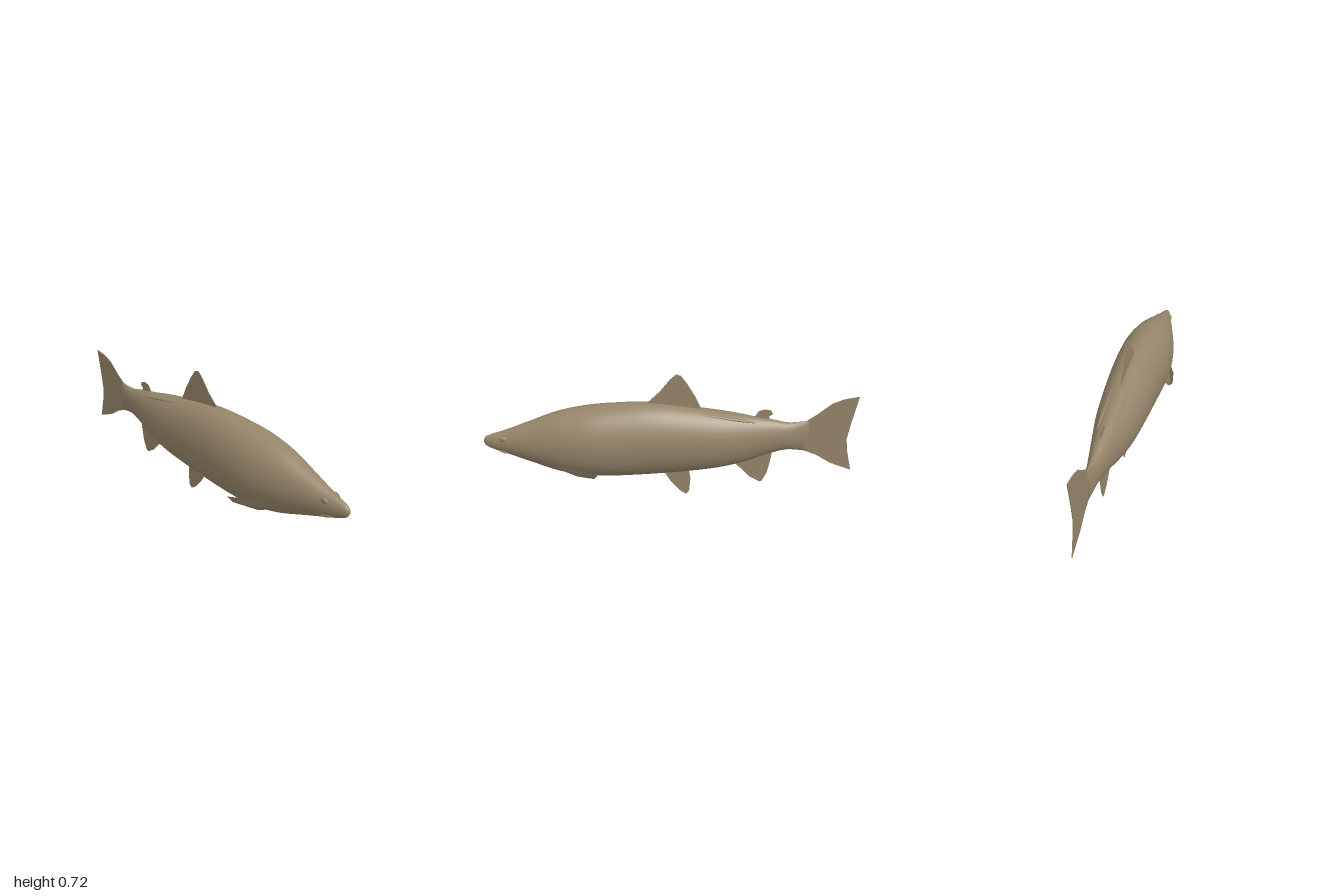
import * as THREE from 'three';

const skin = new THREE.MeshStandardMaterial({ color: 0x96856a, side: THREE.DoubleSide });
skin.name = 'olive brown skin';

// Body stations from tail to nose: x, top y, bottom y, half width
const stations = [
  [-0.745, 0.455, 0.275, 0.017], [-0.64, 0.445, 0.285, 0.036], [-0.55, 0.463, 0.265, 0.053],
  [-0.4, 0.488, 0.213, 0.083], [-0.27, 0.51, 0.182, 0.107], [-0.1, 0.537, 0.16, 0.124],
  [0.1, 0.56, 0.144, 0.138], [0.3, 0.553, 0.135, 0.149], [0.45, 0.538, 0.139, 0.147],
  [0.6, 0.506, 0.165, 0.122], [0.75, 0.45, 0.218, 0.084], [0.87, 0.404, 0.262, 0.052],
  [0.95, 0.379, 0.29, 0.03], [0.988, 0.363, 0.31, 0.016], [1, 0.345, 0.33, 0.006],
];

function bodyGeometry(rings = 70, sides = 40) {
  const outline = new THREE.CatmullRomCurve3(stations.map(([x, t, b]) => new THREE.Vector3(x, t, b)), false, 'catmullrom');
  const widths = new THREE.CatmullRomCurve3(stations.map(([x, , , w]) => new THREE.Vector3(x, w, 0)), false, 'catmullrom');
  const pos = [], index = [];
  // The first and last rings shrink to a point to close the ends
  for (let i = -1; i <= rings + 1; i++) {
    const t = THREE.MathUtils.clamp(i / rings, 0, 1);
    const p = outline.getPoint(t);
    const open = i < 0 || i > rings ? 0 : 1;
    for (let j = 0; j < sides; j++) {
      const a = (j / sides) * Math.PI * 2;
      pos.push(p.x, (p.y + p.z) / 2 + open * Math.cos(a) * (p.y - p.z) / 2, open * Math.sin(a) * widths.getPoint(t).y);
    }
  }
  for (let i = 0; i < rings + 2; i++) {
    for (let j = 0; j < sides; j++) {
      const a = i * sides + j, b = i * sides + (j + 1) % sides;
      index.push(a, b, a + sides, b, b + sides, a + sides);
    }
  }
  const g = new THREE.BufferGeometry();
  g.setAttribute('position', new THREE.Float32BufferAttribute(pos, 3));
  g.setIndex(index);
  g.computeVertexNormals();
  return g;
}

// Thin upright fin on the centre line
function finGeometry(points) {
  const shape = new THREE.Shape(points.map(([x, y]) => new THREE.Vector2(x, y)));
  return new THREE.ExtrudeGeometry(shape, { depth: 0.003, bevelEnabled: false }).translate(0, 0, -0.0015);
}

// Fan of facets around a raised centre, for the side fins
function pectoralGeometry(side) {
  const centre = [0.48, 0.193, 0.132];
  const rim = [[0.615, 0.235, 0.09], [0.46, 0.235, 0.155], [0.38, 0.215, 0.167],
    [0.4, 0.18, 0.142], [0.5, 0.15, 0.065], [0.6, 0.205, 0.078]];
  const pos = [];
  rim.forEach((p, i) => {
    const q = rim[(i + 1) % rim.length];
    const tri = side > 0 ? [centre, p, q] : [centre, q, p];
    tri.forEach(([x, y, z]) => pos.push(x, y, z * side));
  });
  const g = new THREE.BufferGeometry();
  g.setAttribute('position', new THREE.Float32BufferAttribute(pos, 3));
  g.computeVertexNormals();
  return g;
}

export function createModel() {
  const model = new THREE.Group();
  model.name = 'fish';
  const add = (name, geometry) => {
    const mesh = new THREE.Mesh(geometry, skin);
    mesh.name = name;
    model.add(mesh);
    return mesh;
  };

  add('body', bodyGeometry());

  const fins = {
    tailFin: [[-0.735, 0.455], [-0.79, 0.495], [-0.86, 0.555], [-0.92, 0.58], [-1, 0.595], [-0.97, 0.43],
      [-0.958, 0.345], [-0.97, 0.27], [-1, 0.155], [-0.88, 0.2], [-0.8, 0.25], [-0.735, 0.275]],
    dorsalFin: [[-0.17, 0.525], [-0.135, 0.6], [-0.09, 0.675], [-0.06, 0.715], [-0.035, 0.722],
      [-0.005, 0.695], [0.05, 0.625], [0.12, 0.558], [0.05, 0.5], [-0.12, 0.49]],
    adiposeFin: [[-0.545, 0.45], [-0.53, 0.48], [-0.55, 0.495], [-0.542, 0.515], [-0.51, 0.522], [-0.475, 0.513],
      [-0.455, 0.48], [-0.46, 0.45]],
    analFin: [[-0.56, 0.28], [-0.555, 0.22], [-0.54, 0.14], [-0.515, 0.085], [-0.5, 0.08], [-0.445, 0.112],
      [-0.4, 0.16], [-0.35, 0.205], [-0.4, 0.26]],
    pelvicFin: [[-0.105, 0.18], [-0.118, 0.1], [-0.112, 0.02], [-0.095, 0], [-0.06, 0.022], [-0.01, 0.08],
      [0.02, 0.13], [0.03, 0.17]],
  };
  for (const [name, points] of Object.entries(fins)) add(name, finGeometry(points));

  for (const side of [1, -1]) {
    const label = side > 0 ? 'left' : 'right';
    add(label + 'PectoralFin', pectoralGeometry(side));

    const eye = add(label + 'Eye', new THREE.SphereGeometry(1, 16, 10));
    eye.scale.set(0.022, 0.015, 0.009);
    eye.position.set(0.885, 0.365, side * 0.041);

    const mouth = add(label + 'MouthCorner', new THREE.SphereGeometry(1, 12, 8));
    mouth.scale.set(0.035, 0.008, 0.006);
    mouth.position.set(0.9, 0.29, side * 0.03);
    mouth.rotation.set(0, side * 0.25, 0.3);

    // Low ridge along the back behind the dorsal fin
    const ridge = add(label + 'BackRidge', new THREE.SphereGeometry(1, 24, 10));
    ridge.scale.set(0.17, 0.008, 0.012);
    ridge.position.set(-0.29, 0.49, side * 0.038);
    ridge.rotation.z = 0.17;
  }
  return model;
}
